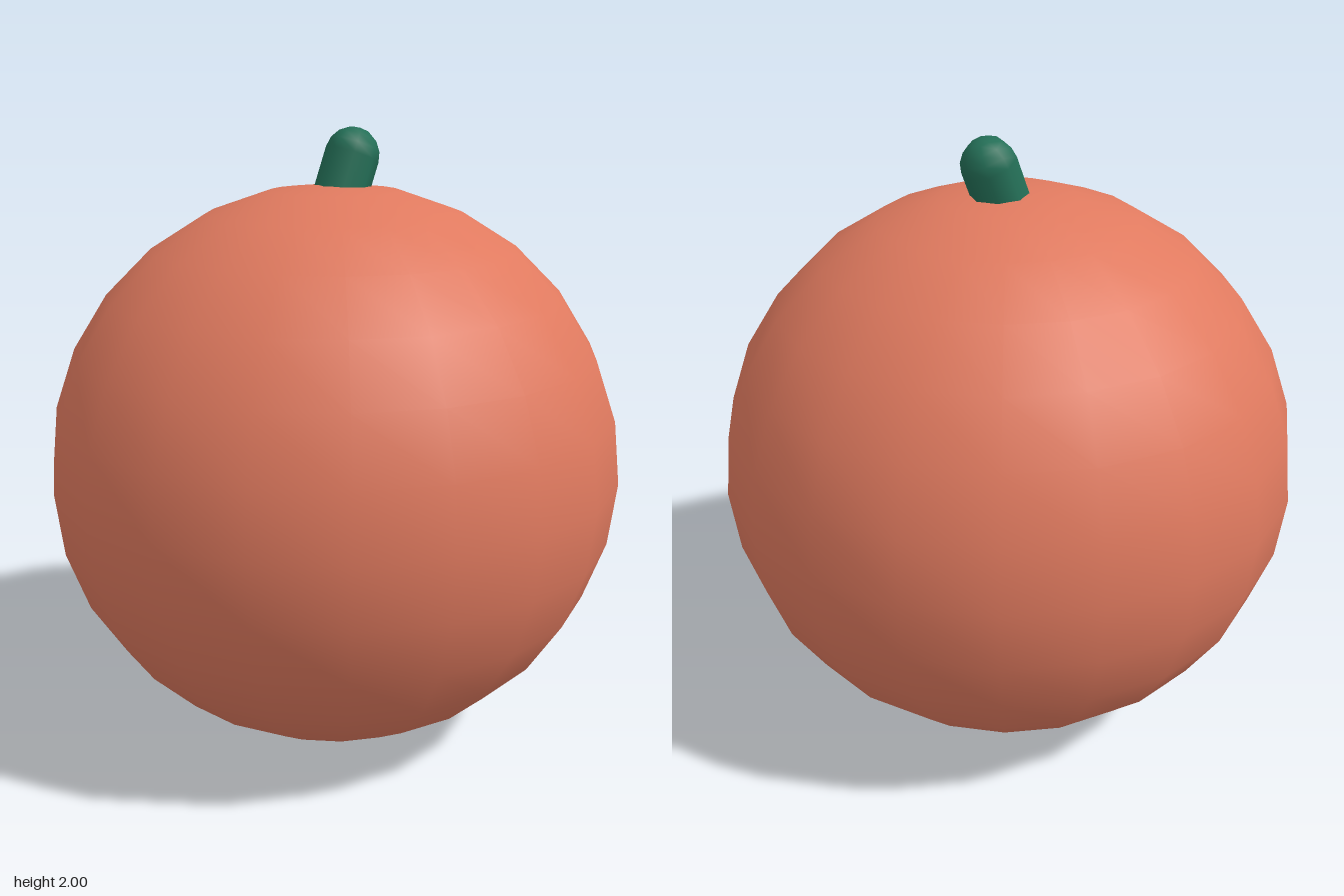
import * as THREE from 'three';

export function createModel() {
  const model = new THREE.Group();

  const terracotta = new THREE.MeshStandardMaterial({ color: 0xe07a5f });
  terracotta.name = 'terracotta';
  const leafGreen = new THREE.MeshStandardMaterial({ color: 0x246f57 });
  leafGreen.name = 'leafGreen';

  // Round body, slightly flattened in height and depth
  const body = new THREE.Mesh(new THREE.SphereGeometry(1, 20, 14), terracotta);
  body.name = 'fruitBody';
  body.scale.set(0.927, 0.915, 0.89);
  body.position.y = 0.918;
  model.add(body);

  // Short rounded stem, leaning to the left and back, its lower end sunk in the body
  const radius = 0.086, length = 0.18;
  const lean = new THREE.Vector3(0.32, 1, -0.2).normalize();
  const stem = new THREE.Mesh(new THREE.CapsuleGeometry(radius, length, 4, 8), leafGreen);
  stem.name = 'stem';
  stem.quaternion.setFromUnitVectors(new THREE.Vector3(0, 1, 0), lean);
  stem.position.set(0.057, 1.916, -0.038).addScaledVector(lean, -length / 2);
  model.add(stem);

  return model;
}
